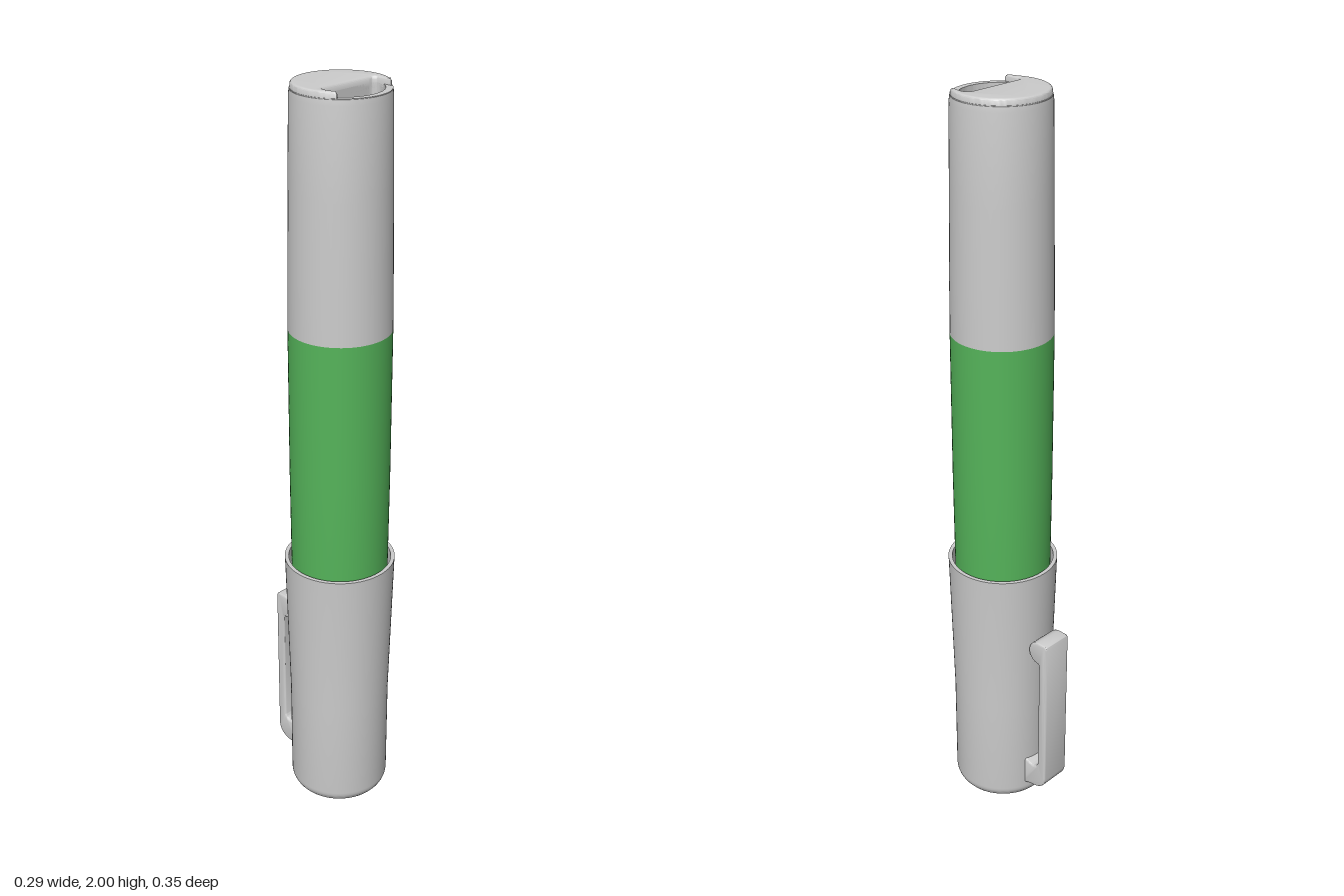
import * as THREE from 'three';
import { toCreasedNormals } from 'three/addons/utils/BufferGeometryUtils.js';

const grey = new THREE.MeshStandardMaterial({ color: 0xcccccc });
const green = new THREE.MeshStandardMaterial({ color: 0x55b45a });
const greyDouble = new THREE.MeshStandardMaterial({ color: 0xcccccc, side: THREE.DoubleSide });

function part(name, geometry, material = grey) {
  const mesh = new THREE.Mesh(geometry, material);
  mesh.name = name;
  return mesh;
}

// Turned part from [radius, height] pairs, listed bottom to top along the outside
function turned(name, profile, material) {
  const points = profile.map(([r, y]) => new THREE.Vector2(r, y));
  return part(name, toCreasedNormals(new THREE.LatheGeometry(points, 72), 0.5), material);
}

// Plate drawn in (x, z), extruded downward from height top
function plate(name, shape, top, depth, bevel = 0, material = grey) {
  const geo = new THREE.ExtrudeGeometry(shape, {
    depth: depth - 2 * bevel, curveSegments: 36, bevelEnabled: bevel > 0,
    bevelSize: bevel, bevelThickness: bevel, bevelOffset: -bevel, bevelSegments: 4,
  });
  geo.rotateX(Math.PI / 2).translate(0, top - bevel, 0);
  return part(name, toCreasedNormals(geo, 0.6), material);
}

// Rounded rectangle in (x, z)
function roundedRect(path, w, z0, z1, r) {
  path.moveTo(-w + r, z0);
  path.lineTo(w - r, z0);
  path.quadraticCurveTo(w, z0, w, z0 + r);
  path.lineTo(w, z1 - r);
  path.quadraticCurveTo(w, z1, w - r, z1);
  path.lineTo(-w + r, z1);
  path.quadraticCurveTo(-w, z1, -w, z1 - r);
  path.lineTo(-w, z0 + r);
  path.quadraticCurveTo(-w, z0, -w + r, z0);
  return path;
}

// D-shaped port opening: straight back edge, curved front edge
function slotPath() {
  const p = new THREE.Path();
  p.moveTo(-0.073, 0.02);
  p.lineTo(0.073, 0.02);
  p.quadraticCurveTo(0.088, 0.02, 0.088, 0.035);
  p.lineTo(0.088, 0.05);
  p.absarc(0, 0, 0.1012, Math.atan2(0.05, 0.088), Math.PI - Math.atan2(0.05, 0.088), false);
  p.lineTo(-0.088, 0.035);
  p.quadraticCurveTo(-0.088, 0.02, -0.073, 0.02);
  return p;
}

function makeEnd() {
  const end = new THREE.Group();
  end.name = 'portEnd';

  // Lower deck pierced by the port opening
  const deck = new THREE.Shape().absarc(0, 0, 0.1185, 0, Math.PI * 2, false);
  deck.holes.push(slotPath());
  end.add(plate('portDeck', deck, 1.985, 0.18));

  // Raised top, cut away at the front
  const r = 0.117, a = Math.asin(0.073 / r);
  const top = new THREE.Shape();
  top.absarc(0, 0, r, Math.PI - a, Math.PI * 2 + a, false);
  top.lineTo(0.088, 0.073);
  top.lineTo(0.088, 0.035);
  top.quadraticCurveTo(0.088, 0.02, 0.073, 0.02);
  top.lineTo(-0.073, 0.02);
  top.quadraticCurveTo(-0.088, 0.02, -0.088, 0.035);
  top.lineTo(-0.088, 0.073);
  end.add(plate('topCap', top, 2.0, 0.035, 0.007));

  // Socket shell, tongue and circuit board inside the opening
  const shell = roundedRect(new THREE.Shape(), 0.054, 0.05, 0.09, 0.012);
  shell.holes.push(roundedRect(new THREE.Path(), 0.049, 0.055, 0.085, 0.009));
  end.add(plate('socketShell', shell, 1.95, 0.13));
  end.add(plate('socketTongue', roundedRect(new THREE.Shape(), 0.038, 0.065, 0.075, 0.002), 1.94, 0.12));
  end.add(plate('circuitBoard', roundedRect(new THREE.Shape(), 0.06, 0.037, 0.048, 0.001), 1.94, 0.13, 0, green));
  const floor = new THREE.Shape().absarc(0, 0, 0.115, 0, Math.PI * 2, false);
  end.add(plate('portFloor', floor, 1.82, 0.02));
  return end;
}

// Pocket clip: side profile in (-z, y), extruded across x
function makeClip() {
  const s = new THREE.Shape();
  s.moveTo(0.115, 0.05);
  s.quadraticCurveTo(0.135, 0.064, 0.165, 0.066);
  s.quadraticCurveTo(0.2, 0.075, 0.202, 0.11);
  s.lineTo(0.202, 0.55);
  s.quadraticCurveTo(0.202, 0.561, 0.191, 0.561);
  s.lineTo(0.172, 0.561);
  s.absarc(0.172, 0.527, 0.034, Math.PI / 2, Math.PI * 1.5, false);
  s.lineTo(0.174, 0.488);
  s.lineTo(0.174, 0.155);
  s.quadraticCurveTo(0.172, 0.137, 0.155, 0.136);
  s.quadraticCurveTo(0.14, 0.138, 0.115, 0.15);
  s.closePath();
  const b = 0.005, width = 0.088;
  const geo = new THREE.ExtrudeGeometry(s, {
    depth: width - 2 * b, curveSegments: 12, bevelEnabled: true,
    bevelSize: b, bevelThickness: b, bevelOffset: -b, bevelSegments: 3,
  });
  geo.translate(0, 0, -width / 2 + b).rotateY(Math.PI / 2);
  return part('pocketClip', toCreasedNormals(geo, 0.6));
}

export function createModel() {
  const model = new THREE.Group();
  model.name = 'penDevice';
  const pen = new THREE.Group();
  pen.name = 'pen';
  pen.position.z = 0.027;
  model.add(pen);

  // Cap: rounded closed bottom, flared wall, open hollow mouth
  const cap = [[0, 0.005], [0.095, 0.005]];
  for (let i = 0; i <= 8; i++) {
    const t = (i / 8) * Math.PI / 2;
    cap.push([0.095 + 0.04 * Math.sin(t), 0.045 - 0.04 * Math.cos(t)]);
  }
  cap[2] = [0.1, 0.0055];
  cap.push([0.1355, 0.33], [0.146, 0.74], [0.1465, 0.75], [0.136, 0.75], [0.133, 0.6], [0.125, 0.1], [0, 0.09]);
  pen.add(turned('cap', cap, greyDouble));

  // Grip sleeve, reaching down into the cap
  pen.add(turned('gripSleeve', [[0, 0.3], [0.11, 0.3], [0.12, 0.45], [0.128, 0.7], [0.13, 1.0], [0.13, 1.4]], green));

  // Tapered upper barrel
  pen.add(turned('upperBarrel', [[0.13, 1.4], [0.128, 1.55], [0.1245, 1.75], [0.1205, 1.97], [0.119, 1.982], [0.1165, 1.985]], greyDouble));

  pen.add(makeEnd(), makeClip());
  return model;
}
